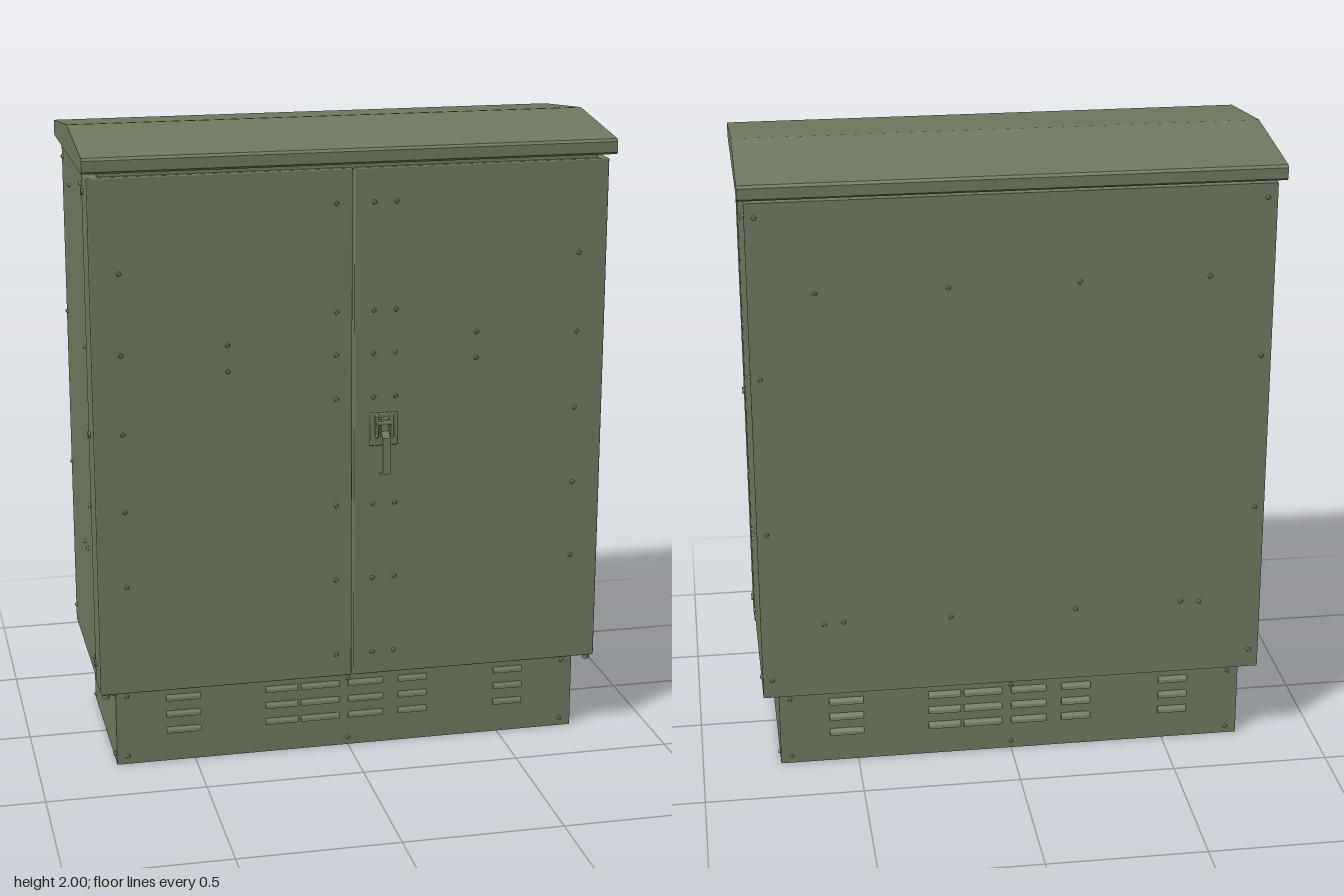
import * as THREE from 'three';
import { mergeGeometries } from 'three/addons/utils/BufferGeometryUtils.js';
import { RoundedBoxGeometry } from 'three/addons/geometries/RoundedBoxGeometry.js';

export function createModel() {
  const root = new THREE.Group();
  root.name = 'streetCabinet';
  const paint = new THREE.MeshStandardMaterial({ color: 0x6f7a60 });
  paint.name = 'olive paint';

  const add = (name, geo, x = 0, y = 0, z = 0, parent = root) => {
    const m = new THREE.Mesh(geo, paint);
    m.name = name;
    m.position.set(x, y, z);
    parent.add(m);
    return m;
  };
  // Box given by its limits on each axis
  const box = (name, [x0, x1], [y0, y1], [z0, z1], r = 0) => add(name,
    r ? new RoundedBoxGeometry(x1 - x0, y1 - y0, z1 - z0, 2, r) : new THREE.BoxGeometry(x1 - x0, y1 - y0, z1 - z0),
    (x0 + x1) / 2, (y0 + y1) / 2, (z0 + z1) / 2);
  // Extrude a (z, y) side profile along x, centred
  const sideExtrude = (pts, width) => {
    const s = new THREE.Shape(pts.map(([z, y]) => new THREE.Vector2(-z, y)));
    return new THREE.ExtrudeGeometry(s, { depth: width, bevelEnabled: false })
      .translate(0, 0, -width / 2).rotateY(Math.PI / 2);
  };

  // Main housing
  box('plinth', [-0.75, 0.75], [0, 0.275], [-0.29, 0.277]);
  box('body', [-0.8, 0.8], [0.27, 1.895], [-0.343, 0.204]);
  box('doorSeal', [-0.78, 0.78], [0.29, 1.88], [0.2, 0.225]);
  box('neck', [-0.77, 0.77], [1.89, 1.915], [-0.31, 0.325]);

  // Gabled roof with softened eaves
  add('roof', sideExtrude([
    [0.358, 1.91], [0.367, 1.917], [0.367, 1.95], [0.36, 1.958], [0.02, 1.998], [0, 2], [-0.02, 1.998],
    [-0.371, 1.958], [-0.379, 1.95], [-0.379, 1.917], [-0.37, 1.91],
  ], 1.638));

  // Doors, bottom feet and side hinges
  for (const s of [-1, 1]) {
    const side = s > 0 ? 'left' : 'right';
    box(side + 'Door', s > 0 ? [0.003, 0.803] : [-0.803, -0.003], [0.266, 1.895], [0.21, 0.34], 0.004);
    add(side + 'DoorFoot', new THREE.CylinderGeometry(0.013, 0.013, 0.03, 12), s * 0.785, 0.264, 0.316);
    for (const y of [0.34, 1.09, 1.84])
      add(side + 'HingeBolt', new THREE.CylinderGeometry(0.011, 0.011, 0.012, 12).rotateZ(Math.PI / 2), s * 0.804, y, 0.25);
  }

  // Rivets: each list becomes one mesh on one face
  const rivets = (name, places, rotate) => {
    const list = places.map(([u, y, d]) => {
      const g = new THREE.CylinderGeometry(0.005, 0.008, 0.008, 10).rotateX(Math.PI / 2);
      return g.translate(u, y, d).rotateY(rotate);
    });
    add(name, mergeGeometries(list));
  };
  const grid = (us, ys, d) => us.flatMap(u => ys.map(y => [u, y, d]));
  const column = [1.85, 1.345, 0.835, 0.33];
  rivets('doorRivets', [
    ...grid([-0.053, 0.064, 0.134], [1.79, 1.455, 1.32, 1.18, 0.835, 0.59, 0.34], 0.343),
    ...grid([-0.714, 0.714], [1.605, 1.355, 1.108, 0.862, 0.617], 0.343),
    ...grid([-0.39, 0.39], [1.37, 1.287], 0.343),
  ], 0);
  rivets('backRivets', [
    ...grid([-0.77, 0.77], column, 0.346),
    ...grid([-0.6, -0.2, 0.2, 0.6], [1.61, 0.515], 0.346),
    [0.54, 0.52, 0.346], [-0.54, 0.52, 0.346],
  ], Math.PI);
  for (const s of [-1, 1]) {
    const spots = [...grid([0.17, -0.31], column, 0.803), [-0.13, 1.79, 0.803], [0.085, 0.665, 0.803], [0.01, 0.665, 0.803]];
    rivets('sideRivets', spots.map(([z, y, d]) => [-s * z, y, d]), s * Math.PI / 2);
    rivets('plinthSideRivets', grid([-s * 0.245, s * 0.255], [0.23, 0.025], 0.753), s * Math.PI / 2);
  }
  rivets('plinthFrontRivets', grid([-0.715, 0, 0.715], [0.23, 0.025], 0.28), 0);
  rivets('plinthBackRivets', grid([-0.715, 0, 0.715], [0.23, 0.025], 0.293), Math.PI);

  // Louvred vents, front and back: hoods sloping out and open below
  const slots = [[-0.59, -0.48], [-0.27, -0.165], [-0.155, -0.03], [0, 0.115], [0.165, 0.26], [0.485, 0.58]];
  for (const back of [false, true]) {
    const vents = new THREE.Group();
    vents.name = back ? 'backVents' : 'frontVents';
    for (const [x0, x1] of slots) for (const y of [0.103, 0.158, 0.213]) {
      const out = back ? 0.013 : 0.008;
      add('louvre', sideExtrude([[-0.002, -0.008], [out, -0.008], [out * 0.8, 0.002], [-0.002, 0.014]], x1 - x0),
        (x0 + x1) / 2, y, 0, vents);
    }
    vents.position.z = back ? -0.29 : 0.277;
    if (back) vents.rotation.y = Math.PI;
    root.add(vents);
  }

  // Swing handle on its mounting plate
  const handle = new THREE.Group();
  handle.name = 'handle';
  handle.position.set(0.096, 0, 0.34);
  root.add(handle);
  add('handlePlate', new RoundedBoxGeometry(0.088, 0.105, 0.01, 2, 0.004), 0, 1.078, 0.004, handle);
  for (const s of [-1, 1])
    add('handleCheek', new RoundedBoxGeometry(0.01, 0.075, 0.02, 2, 0.004), s * 0.024, 1.09, 0.012, handle);
  add('handlePivot', new THREE.CylinderGeometry(0.009, 0.009, 0.056, 12).rotateZ(Math.PI / 2), 0, 1.1, 0.014, handle);
  add('handleLever', sideExtrude([
    [0.004, 1.118], [0.02, 1.112], [0.022, 1.075], [0.044, 1.058], [0.045, 0.942], [0.002, 0.928],
    [0.002, 0.936], [0.038, 0.948], [0.037, 1.052], [0.004, 1.064],
  ], 0.024), 0, 0, 0, handle);

  return root;
}
